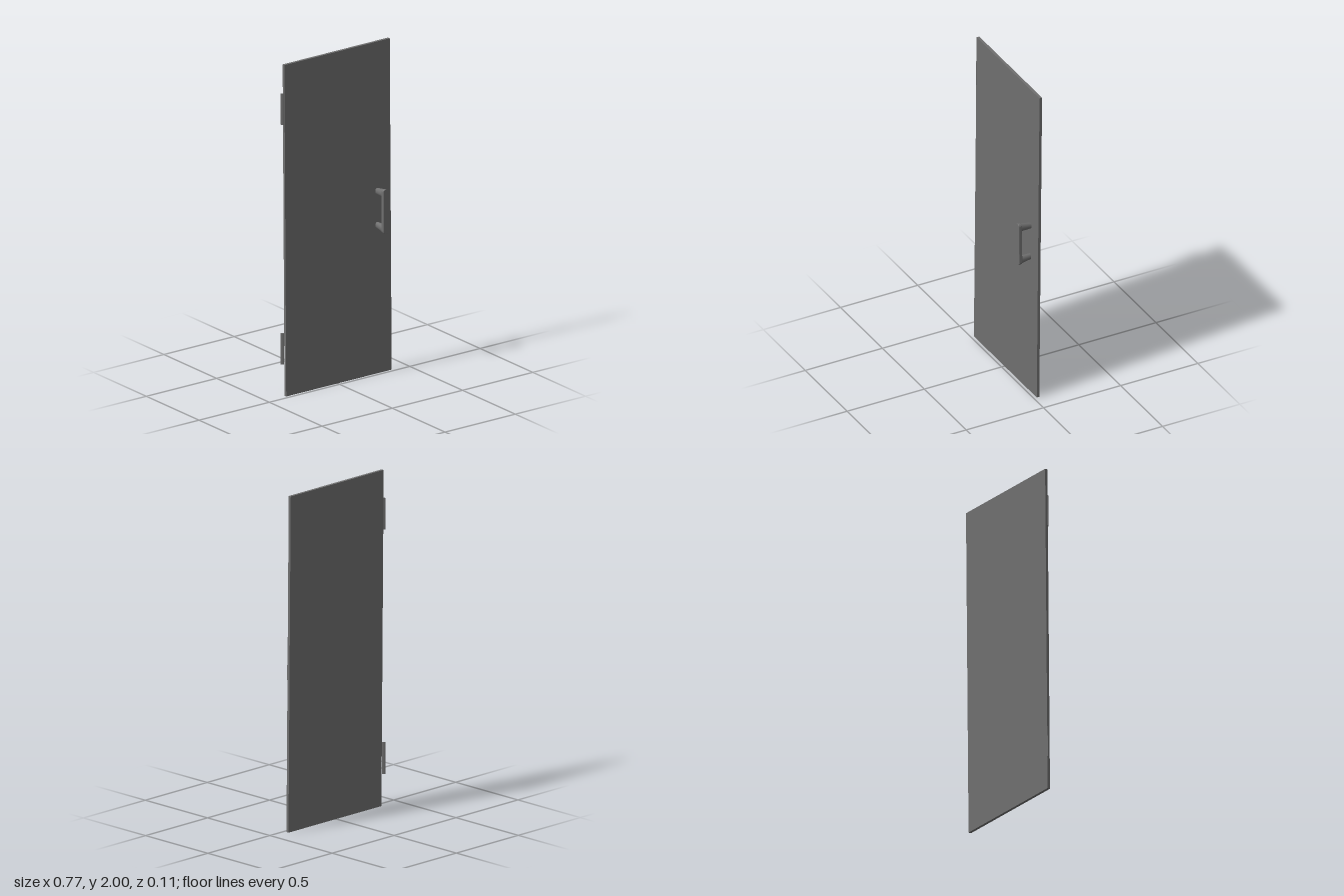
import * as THREE from 'three';

const material = new THREE.MeshStandardMaterial({ color: 0x6f6f6f });

function addMesh(parent, name, geometry) {
  const mesh = new THREE.Mesh(geometry, material);
  mesh.name = name;
  parent.add(mesh);
  return mesh;
}

// Move every vertex by a rule
function reshape(geometry, rule) {
  const p = geometry.attributes.position;
  const v = new THREE.Vector3();
  for (let i = 0; i < p.count; i++) {
    v.fromBufferAttribute(p, i);
    rule(v);
    p.setXYZ(i, v.x, v.y, v.z);
  }
  geometry.computeVertexNormals();
  return geometry;
}

// Grip outline: a slim upright bar with rounded ends, slightly wider at the foot
function gripShape() {
  const top = 0.0165, foot = 0.0185, half = 0.136;
  const s = new THREE.Shape();
  s.absarc(0, half - top, top, 0, Math.PI, false);
  s.absarc(0, foot - half, foot, Math.PI, Math.PI * 2, false);
  s.closePath();
  return s;
}

function createHandle() {
  const handle = new THREE.Group();
  handle.name = 'handle';
  const midY = 0.9965;

  // Grip with softened edges, leaning a little sideways and tapering to the back
  const grip = new THREE.ExtrudeGeometry(gripShape(), {
    depth: 0.015, curveSegments: 8, bevelThickness: 0.003, bevelSize: 0.003, bevelOffset: -0.003, bevelSegments: 2,
  });
  reshape(grip, (v) => {
    v.x -= v.y * 0.012;
    if (v.z < 0.01) v.y *= 0.985;
  });
  addMesh(handle, 'grip', grip).position.set(0.2895, midY, 0.035);

  // Oval posts that narrow and lean inward toward the door
  for (const side of [1, -1]) {
    const post = new THREE.CylinderGeometry(1, 1, 1, 14, 1);
    reshape(post.rotateX(Math.PI / 2), (v) => {
      const t = v.z + 0.5;
      v.x = v.x * THREE.MathUtils.lerp(0.0138, 0.0172, t) - side * 0.0013 * t;
      v.y = v.y * THREE.MathUtils.lerp(0.0185, 0.0255, t) + side * THREE.MathUtils.lerp(0.102, 0.108, t);
      v.z = THREE.MathUtils.lerp(-0.034, 0.036, t);
    });
    addMesh(handle, side > 0 ? 'upperPost' : 'lowerPost', post).position.set(0.2895, midY, 0);
  }
  return handle;
}

// Flattened hinge knuckle set obliquely toward the back of the door edge
function createHinge(name, y) {
  const hinge = new THREE.CylinderGeometry(1, 1, 0.188, 14);
  hinge.scale(0.011, 1, 0.003);
  hinge.rotateY(-0.69);
  hinge.computeVertexNormals();
  const mesh = new THREE.Mesh(hinge, material);
  mesh.name = name;
  mesh.position.set(-0.3763, y, -0.0425);
  return mesh;
}

export function createModel() {
  const door = new THREE.Group();
  door.name = 'door';

  // Panel leaning slightly backward
  const panel = new THREE.BoxGeometry(0.75, 2, 0.0165).translate(0.01, 1, 0);
  reshape(panel, (v) => {
    v.z -= THREE.MathUtils.lerp(0.0273, 0.0455, v.y / 2);
  });
  addMesh(door, 'panel', panel);

  door.add(createHandle());
  door.add(createHinge('upperHinge', 1.735), createHinge('lowerHinge', 0.285));
  return door;
}
